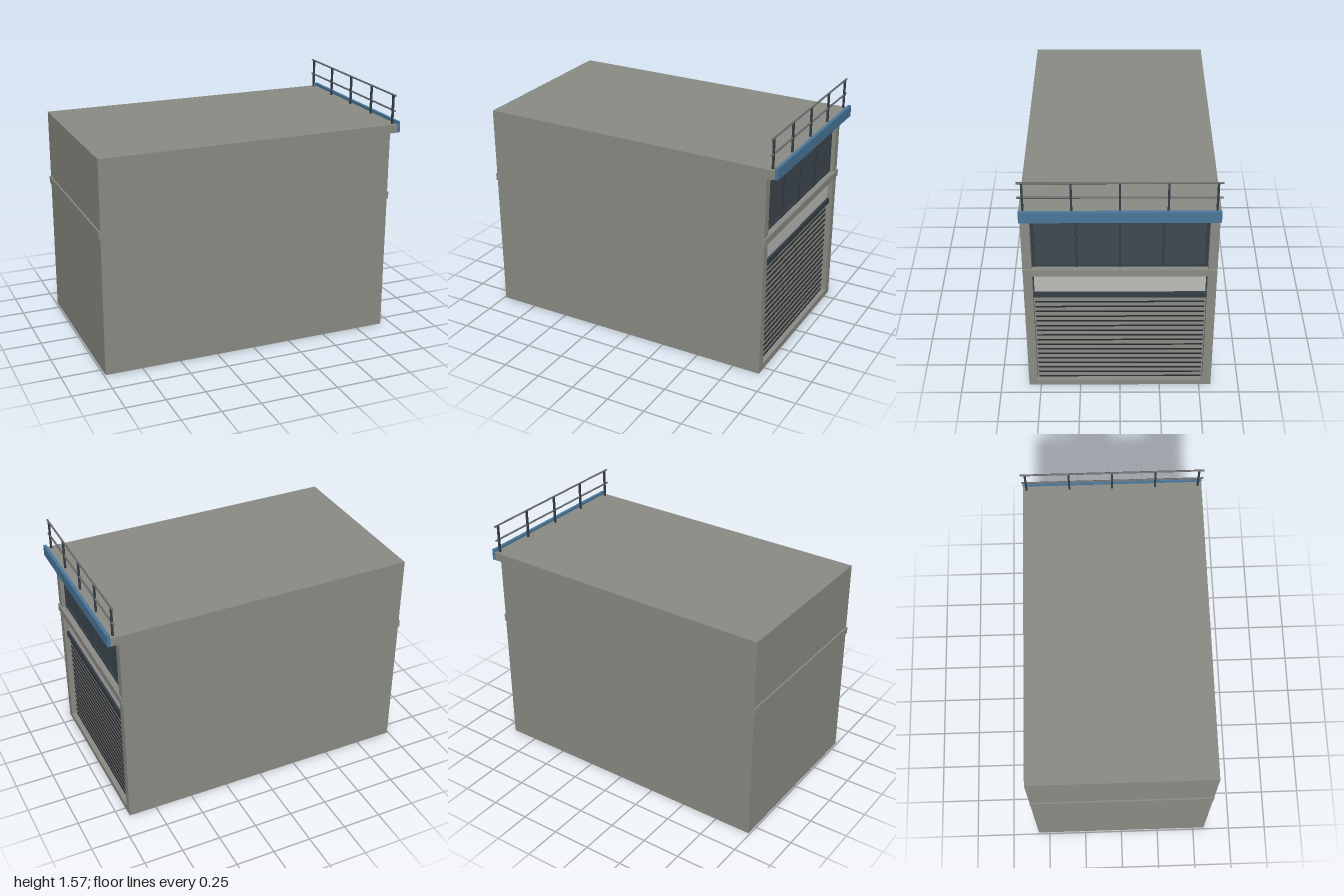
import * as THREE from 'three';

const mat = (name, color) => {
  const m = new THREE.MeshStandardMaterial({ color });
  m.name = name;
  return m;
};

export function createModel() {
  const concrete = mat('concrete', 0x8b8b84);
  const blue = mat('bluePaint', 0x4a779b);
  const glass = mat('tintedGlass', 0x3e4951);
  const frame = mat('darkFrame', 0x343e46);
  const panel = mat('palePanel', 0xbdbcb8);
  const groove = mat('shutterGroove', 0x24282d);
  const steel = mat('railSteel', 0x6c6d6c);

  const root = new THREE.Group();
  root.name = 'building';

  // Box given by its lower and upper limits on each axis
  const box = (name, material, x0, x1, y0, y1, z0, z1, parent = root) => {
    const mesh = new THREE.Mesh(new THREE.BoxGeometry(x1 - x0, y1 - y0, z1 - z0), material);
    mesh.position.set((x0 + x1) / 2, (y0 + y1) / 2, (z0 + z1) / 2);
    mesh.name = name;
    parent.add(mesh);
    return mesh;
  };
  const group = (name) => {
    const g = new THREE.Group();
    g.name = name;
    root.add(g);
    return g;
  };

  const W = 0.575;    // half width of the building
  const O = 0.52;     // half width of the facade opening
  const wall = 0.885; // recessed wall plane
  const face = 0.93;  // outer facade plane

  // Main volume and facade surround
  box('mainBody', concrete, -0.99, wall, 0, 1.38, -W, W);
  box('leftPier', concrete, wall, face, 0, 1.325, O, W);
  box('rightPier', concrete, wall, face, 0, 1.325, -W, -O);
  box('doorSill', concrete, wall, face, 0, 0.04, -O, O);
  box('windowHeader', concrete, wall, face, 1.285, 1.325, -O, O);

  // Floor band at both ends
  box('facadeBand', concrete, wall, 0.94, 0.89, 0.935, -W, W);
  box('rearBand', concrete, -1, -0.99, 0.89, 0.935, -W, W);

  // Canopy edge
  box('canopySlab', concrete, wall, 0.98, 1.325, 1.38, -W, W);
  box('canopyFascia', blue, 0.98, 1, 1.325, 1.397, -W, W);

  // Upper window strip
  const windows = group('windowStrip');
  box('windowGlass', glass, wall, wall + 0.008, 0.935, 1.285, -O, O, windows);
  for (let i = -2; i <= 2; i++) {
    const z = i * 0.255;
    box('mullion', frame, wall, wall + 0.02, 0.935, 1.285, z - 0.007, z + 0.007, windows);
  }
  for (const y of [0.935, 1.272])
    box('windowRail', frame, wall, wall + 0.018, y, y + 0.013, -O, O, windows);

  // Pale panel above the door, with its dark backing and lintel
  box('panelBacking', frame, wall, wall + 0.006, 0.74, 0.89, -O, O);
  box('pale panel', panel, wall, wall + 0.014, 0.742, 0.877, -0.513, 0.513);
  box('doorLintel', frame, wall, wall + 0.028, 0.705, 0.74, -O, O);

  // Roller shutter
  const shutter = group('rollerShutter');
  box('shutterSheet', concrete, wall, wall + 0.006, 0.04, 0.705, -O, O, shutter);
  for (let i = 0; i < 17; i++) {
    const y = 0.042 + i * 0.0385;
    box('shutterGroove', groove, wall, wall + 0.013, y - 0.003, y + 0.003, -0.513, 0.513, shutter);
  }

  // Roof railing
  const railing = group('roofRailing');
  for (let i = -2; i <= 2; i++) {
    const z = i * 0.275;
    box('railPost', frame, 0.95, 0.962, 1.38, 1.568, z - 0.006, z + 0.006, railing);
  }
  for (const y of [1.47, 1.568]) {
    const rail = new THREE.Mesh(new THREE.CylinderGeometry(0.006, 0.006, 1.16, 10), steel);
    rail.rotation.x = Math.PI / 2;
    rail.position.set(0.956, y, 0);
    rail.name = 'handRail';
    railing.add(rail);
  }

  return root;
}
